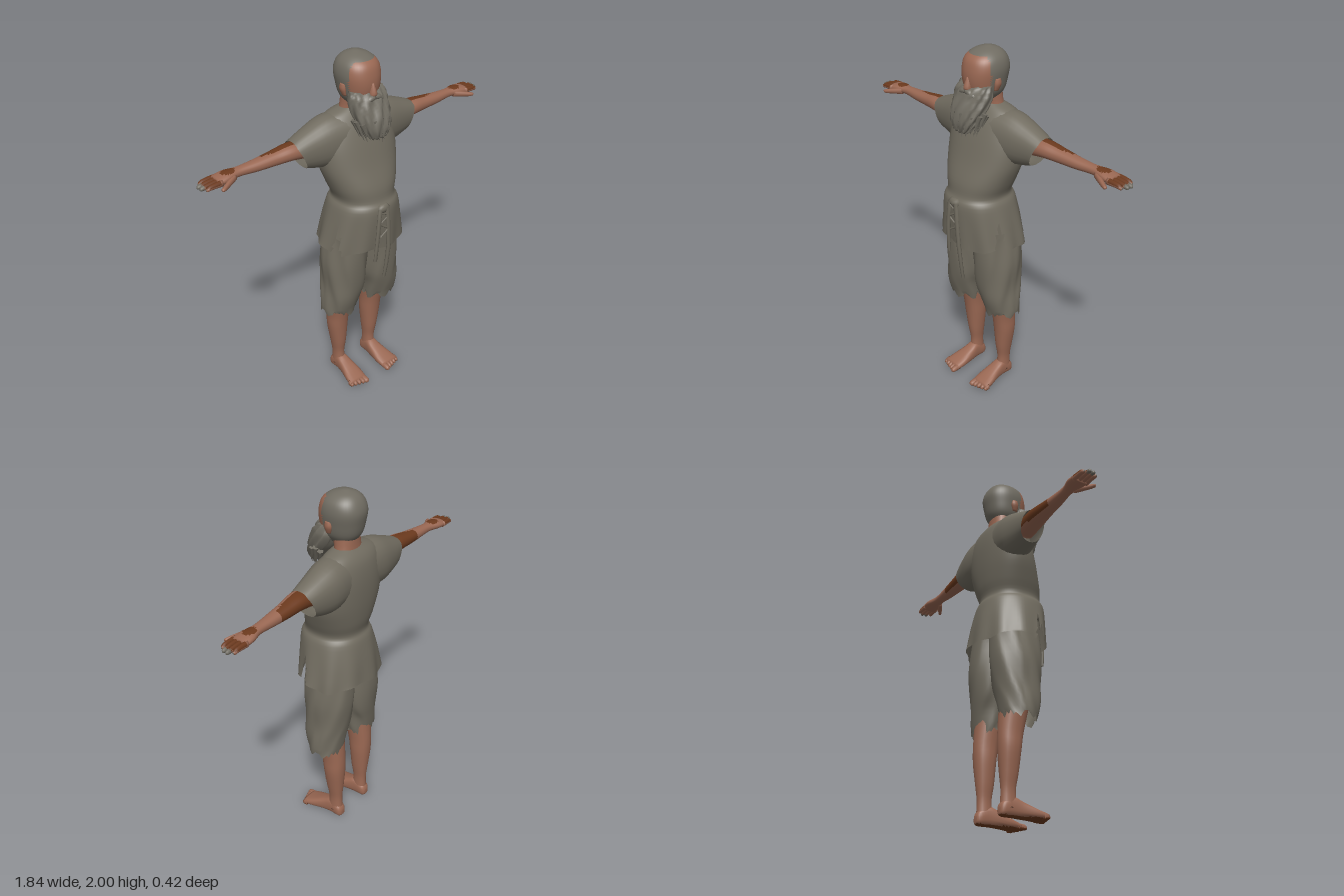
import * as THREE from 'three';

const mat = (name, color, extra = {}) =>
  Object.assign(new THREE.MeshStandardMaterial({ color, ...extra }), { name });

// Repeatable noise in 0..1
const noise = (i) => { const s = Math.sin(i * 127.1 + 3.7) * 43758.5; return s - Math.floor(s); };

// Smooth in-between sections
function resample(sections, steps) {
  const out = [], last = sections.length - 1;
  for (let i = 0; i < last; i++) {
    const [a, b, c, d] = [i - 1, i, i + 1, i + 2].map((k) => sections[Math.min(last, Math.max(0, k))]);
    for (let s = 0; s < steps; s++) {
      const t = s / steps;
      out.push(b.map((_, k) => 0.5 * (2 * b[k] + (c[k] - a[k]) * t
        + (2 * a[k] - 5 * b[k] + 4 * c[k] - d[k]) * t * t
        + (3 * b[k] - a[k] - 3 * c[k] + d[k]) * t * t * t)));
    }
  }
  out.push(sections[last]);
  return out;
}

// Skin of rounded sections [t, pMin, pMax, qMin, qMax] along an axis, t rising.
// axis y: p = x, q = z; axis x: p = z, q = y; axis z: p = y, q = x.
// paint(x, y, z) picks a material index for each face, -1 leaves a hole.
const AXES = { y: (t, p, q) => [p, t, q], x: (t, p, q) => [t, q, p], z: (t, p, q) => [q, p, t] };
function loft(sections, { axis = 'y', n = 24, e = 0.9, steps = 4, cap = true, paint, warp } = {}) {
  const rings = resample(sections, steps), pos = [], tris = [];
  const bend = (c) => Math.sign(c) * Math.abs(c) ** e;
  rings.forEach(([t, p0, p1, q0, q1], r) => {
    for (let j = 0; j < n; j++) {
      const a = (j / n) * Math.PI * 2;
      const v = new THREE.Vector3(...AXES[axis](t,
        (p0 + p1) / 2 + bend(Math.cos(a)) * (p1 - p0) / 2,
        (q0 + q1) / 2 + bend(Math.sin(a)) * (q1 - q0) / 2));
      if (warp) warp(v, j, r);
      pos.push(v.x, v.y, v.z);
    }
  });
  for (let r = 0; r < rings.length - 1; r++) for (let j = 0; j < n; j++) {
    const a = r * n + j, b = r * n + (j + 1) % n;
    tris.push([a, a + n, b], [b, a + n, b + n]);
  }
  if (cap) [0, rings.length - 1].forEach((r) => {
    const [t, p0, p1, q0, q1] = rings[r], c = pos.length / 3;
    pos.push(...AXES[axis](t, (p0 + p1) / 2, (q0 + q1) / 2));
    for (let j = 0; j < n; j++) {
      const a = r * n + j, b = r * n + (j + 1) % n;
      tris.push(r ? [a, c, b] : [b, c, a]);
    }
  });
  const buckets = {};
  tris.forEach((t) => {
    const mid = [0, 1, 2].map((k) => (pos[t[0] * 3 + k] + pos[t[1] * 3 + k] + pos[t[2] * 3 + k]) / 3);
    const m = paint ? paint(...mid) : 0;
    if (m >= 0) (buckets[m] ??= []).push(...t);
  });
  const g = new THREE.BufferGeometry(), index = [];
  for (const m in buckets) {
    g.addGroup(index.length, buckets[m].length, +m);
    index.push(...buckets[m]);
  }
  g.setAttribute('position', new THREE.Float32BufferAttribute(pos, 3));
  g.setIndex(index);
  g.computeVertexNormals();
  return g;
}

function mirrorX(geo) {
  const g = geo.clone().scale(-1, 1, 1), ix = g.index.array;
  for (let i = 0; i < ix.length; i += 3) [ix[i], ix[i + 1]] = [ix[i + 1], ix[i]];
  return g;
}

export function createModel() {
  const root = new THREE.Group();
  root.name = 'beardedMan';
  const cloth = mat('greyCloth', 0x716c60, { side: THREE.DoubleSide });
  const skin = mat('skin', 0x9a6853);
  const dirt = mat('brownDirt', 0x6c3a1e);
  const hair = mat('greyHair', 0x706c62);
  const body = [skin, dirt, hair];
  const add = (name, geo, material) => {
    const m = new THREE.Mesh(geo, material);
    m.name = name;
    root.add(m);
    return m;
  };
  const both = (name, geo, material) => {
    add(name + 'Left', geo, material);
    add(name + 'Right', mirrorX(geo), material);
  };

  // Tunic: flared skirt with side slits, tied waist, chest and shoulders
  add('tunic', loft([
    [0.945, -0.245, 0.245, -0.2, 0.19], [1.08, -0.215, 0.215, -0.185, 0.198],
    [1.19, -0.187, 0.187, -0.163, 0.2], [1.235, -0.166, 0.166, -0.143, 0.18],
    [1.31, -0.193, 0.193, -0.16, 0.168], [1.42, -0.228, 0.228, -0.173, 0.128],
    [1.54, -0.235, 0.235, -0.175, 0.09], [1.63, -0.21, 0.21, -0.163, 0.055],
    [1.68, -0.175, 0.175, -0.138, 0.025], [1.712, -0.085, 0.085, -0.1, 0.0],
  ], {
    n: 72, cap: false,
    paint: (x, y, z) => (y < 1.13 && Math.abs(x) > 0.1 && Math.abs(z - 0.07) < (1.13 - y) * 0.16 ? -1 : 0),
    warp: (v, j, r) => {
      if (v.y < 1.2) { // loose folds and an uneven hem
        const f = 1 + (1.2 - v.y) * 0.12 * Math.sin(j * 0.87);
        v.x *= f; v.z *= f;
        if (r === 0) v.y += 0.012 * Math.sin(j * 0.35);
      }
    },
  }), [cloth]);

  // Wide short sleeves, cut at a slant
  both('sleeve', loft([
    [0.08, -0.16, 0.06, 1.43, 1.695], [0.19, -0.165, 0.045, 1.42, 1.688],
    [0.3, -0.15, 0.025, 1.43, 1.65], [0.39, -0.132, 0.01, 1.45, 1.613],
  ], {
    axis: 'x', cap: false,
    warp: (v) => { if (v.x > 0.2) v.x -= Math.max(0, 1.59 - v.y) * 0.45 * (v.x - 0.2) / 0.19; },
  }), [cloth]);

  // Shorts with torn hems
  both('shortsLeg', loft([
    [0.5, 0.045, 0.245, -0.112, 0.07], [0.6, 0.03, 0.24, -0.125, 0.1],
    [0.7, 0.0, 0.232, -0.14, 0.115], [0.84, -0.008, 0.226, -0.155, 0.126],
    [1.0, -0.01, 0.2, -0.15, 0.13],
  ], {
    n: 44, cap: false,
    warp: (v, j, r) => {
      if (r === 0) v.y += 0.03 - 0.055 * noise(j);
      else v.x += 0.005 * Math.sin(j * 0.9 + r * 0.6);
    },
  }), [cloth]);

  // Tie knot, hanging ends and crossed lace
  const tie = (name, s) => add(name, loft(s, { n: 8, steps: 2 }), [cloth]);
  tie('tieKnot', [[1.175, -0.035, 0.025, 0.185, 0.205], [1.2, -0.045, 0.035, 0.18, 0.213], [1.22, -0.03, 0.02, 0.175, 0.2]]);
  tie('tieEndRight', [[0.88, -0.066, -0.045, 0.185, 0.2], [1.05, -0.06, -0.035, 0.195, 0.212], [1.2, -0.045, -0.02, 0.19, 0.21]]);
  tie('tieEndLeft', [[0.73, 0.02, 0.038, 0.162, 0.178], [0.95, 0.018, 0.045, 0.19, 0.21], [1.2, 0.0, 0.028, 0.192, 0.212]]);
  const lace = [1.18, 1.15, 1.11, 1.07, 1.03].map((y, i) => new THREE.Vector3(i % 2 ? 0.018 : -0.03, y, 0.205));
  add('lace', new THREE.TubeGeometry(new THREE.CatmullRomCurve3(lace), 24, 0.005, 5), cloth);

  // Arm and palm, with dirt on the back and top
  both('arm', loft([
    [0.28, -0.115, 0.0, 1.5, 1.6], [0.4, -0.113, -0.002, 1.522, 1.608],
    [0.5, -0.108, -0.018, 1.524, 1.596], [0.6, -0.102, -0.03, 1.526, 1.585],
    [0.7, -0.1, -0.042, 1.532, 1.578], [0.77, -0.12, -0.03, 1.53, 1.576],
    [0.83, -0.122, -0.026, 1.527, 1.565],
  ], {
    axis: 'x', steps: 6,
    paint: (x, y, z) => (
      (x < 0.57 && z < -0.045 - Math.max(0, x - 0.47) * 0.25 && y > 1.535)
      || (y > 1.555 && Math.hypot(x - 0.755, (z + 0.075) * 1.2) < 0.036) ? 1 : 0),
  }), body);
  for (let i = 0; i < 4; i++) {
    const z = -0.109 + i * 0.024, end = [0.9, 0.92, 0.918, 0.9][i];
    both('finger' + (i + 1), loft([
      [0.81, z - 0.014, z + 0.014, 1.53, 1.564], [0.87, z - 0.012, z + 0.012, 1.532, 1.56],
      [end - 0.01, z - 0.01, z + 0.01, 1.53, 1.552], [end, z - 0.003, z + 0.003, 1.535, 1.545],
    ], { axis: 'x', n: 10, paint: (x, y) => (x > 0.898 ? 2 : x > 0.825 && y > 1.547 ? 1 : 0) }), body);
  }
  both('thumb', loft([
    [0.73, -0.065, -0.035, 1.53, 1.565], [0.78, -0.04, -0.01, 1.525, 1.556],
    [0.825, -0.012, 0.01, 1.523, 1.545], [0.838, -0.004, 0.008, 1.53, 1.54],
  ], { axis: 'x', n: 10 }), body);

  // Legs, feet with brown soles, toes
  both('leg', loft([
    [0.04, 0.082, 0.15, -0.108, -0.015], [0.13, 0.086, 0.148, -0.104, -0.025],
    [0.22, 0.076, 0.162, -0.112, -0.012], [0.34, 0.066, 0.18, -0.122, 0.0],
    [0.44, 0.064, 0.183, -0.122, 0.015], [0.6, 0.05, 0.2, -0.11, 0.05],
  ], { n: 20 }), body);
  const sole = (x, y) => (y < 0.008 ? 1 : 0);
  both('foot', loft([
    [-0.116, 0.012, 0.045, 0.1, 0.13], [-0.1, 0.0, 0.075, 0.085, 0.148],
    [-0.045, 0.0, 0.105, 0.08, 0.15], [0.01, 0.0, 0.085, 0.072, 0.158],
    [0.08, 0.0, 0.055, 0.064, 0.176], [0.135, 0.0, 0.035, 0.068, 0.184],
  ], { axis: 'z', n: 20, e: 0.75, paint: sole }), body);
  for (let i = 0; i < 5; i++) {
    const x = 0.084 + i * 0.0225, r = i ? 0.011 : 0.016, z = 0.17 - i * 0.007;
    both('toe' + (i + 1), loft([
      [0.11, 0, 0.036, x - r, x + r], [z - 0.012, 0, 0.03, x - r, x + r], [z, 0.006, 0.018, x - r / 2, x + r / 2],
    ], { axis: 'z', n: 10, steps: 3, paint: sole }), body);
  }

  // Neck and head: bald face framed by grey hair
  add('neck', loft([
    [1.66, -0.1, 0.1, -0.115, 0.005], [1.71, -0.08, 0.08, -0.108, 0.004], [1.8, -0.072, 0.072, -0.105, 0.03],
  ]), body);
  add('head', loft([
    [1.735, -0.06, 0.06, -0.09, 0.05], [1.78, -0.09, 0.09, -0.122, 0.085],
    [1.84, -0.104, 0.104, -0.138, 0.1], [1.9, -0.11, 0.11, -0.146, 0.098],
    [1.95, -0.097, 0.097, -0.13, 0.08], [1.983, -0.062, 0.062, -0.098, 0.035],
    [2.0, -0.012, 0.012, -0.05, -0.025],
  ], {
    n: 40, steps: 6, paint: (x, y, z) => (z > 0.032 && y < 1.968 ? 0 : 2),
  }), body);
  add('nose', loft([
    [1.795, -0.018, 0.018, 0.075, 0.108], [1.812, -0.02, 0.02, 0.075, 0.122], [1.865, -0.009, 0.009, 0.075, 0.103],
  ], { n: 10 }), body);
  both('ear', loft([
    [1.795, 0.09, 0.104, -0.02, 0.008], [1.83, 0.09, 0.117, -0.032, 0.012], [1.858, 0.09, 0.113, -0.026, 0.008],
  ], { n: 10 }), body);

  // Beard: lumpy mass, moustache and ragged locks
  add('beard', loft([
    [1.59, -0.045, 0.045, 0.105, 0.162], [1.64, -0.078, 0.078, 0.065, 0.172],
    [1.7, -0.1, 0.1, 0.01, 0.16], [1.76, -0.11, 0.11, -0.018, 0.132],
    [1.795, -0.107, 0.107, -0.012, 0.115], [1.825, -0.098, 0.098, 0.0, 0.08],
  ], {
    n: 36, warp: (v, j, r) => {
      const f = 0.006 * Math.sin(j * 1.75 + r * 0.5);
      v.x += f * Math.sign(v.x); v.z += f;
    },
  }), hair);
  both('moustache', loft([
    [0.0, 0.08, 0.124, 1.782, 1.808], [0.035, 0.07, 0.124, 1.772, 1.805], [0.075, 0.04, 0.1, 1.74, 1.78],
  ], { axis: 'x', n: 10 }), hair);
  for (let i = 0; i < 22; i++) {
    const a = (i / 21 - 0.5) * Math.PI * 1.25, row = i % 2;
    const len = 0.07 + 0.045 * noise(i);
    const lock = add('beardLock' + (i + 1), new THREE.ConeGeometry(0.017, len, 6), hair);
    lock.position.set(Math.sin(a) * (row ? 0.088 : 0.066), row ? 1.64 : 1.615, 0.09 + Math.cos(a) * (row ? 0.07 : 0.06));
    lock.rotation.set(Math.PI - 0.25, 0, Math.sin(a) * 0.2);
  }
  return root;
}
